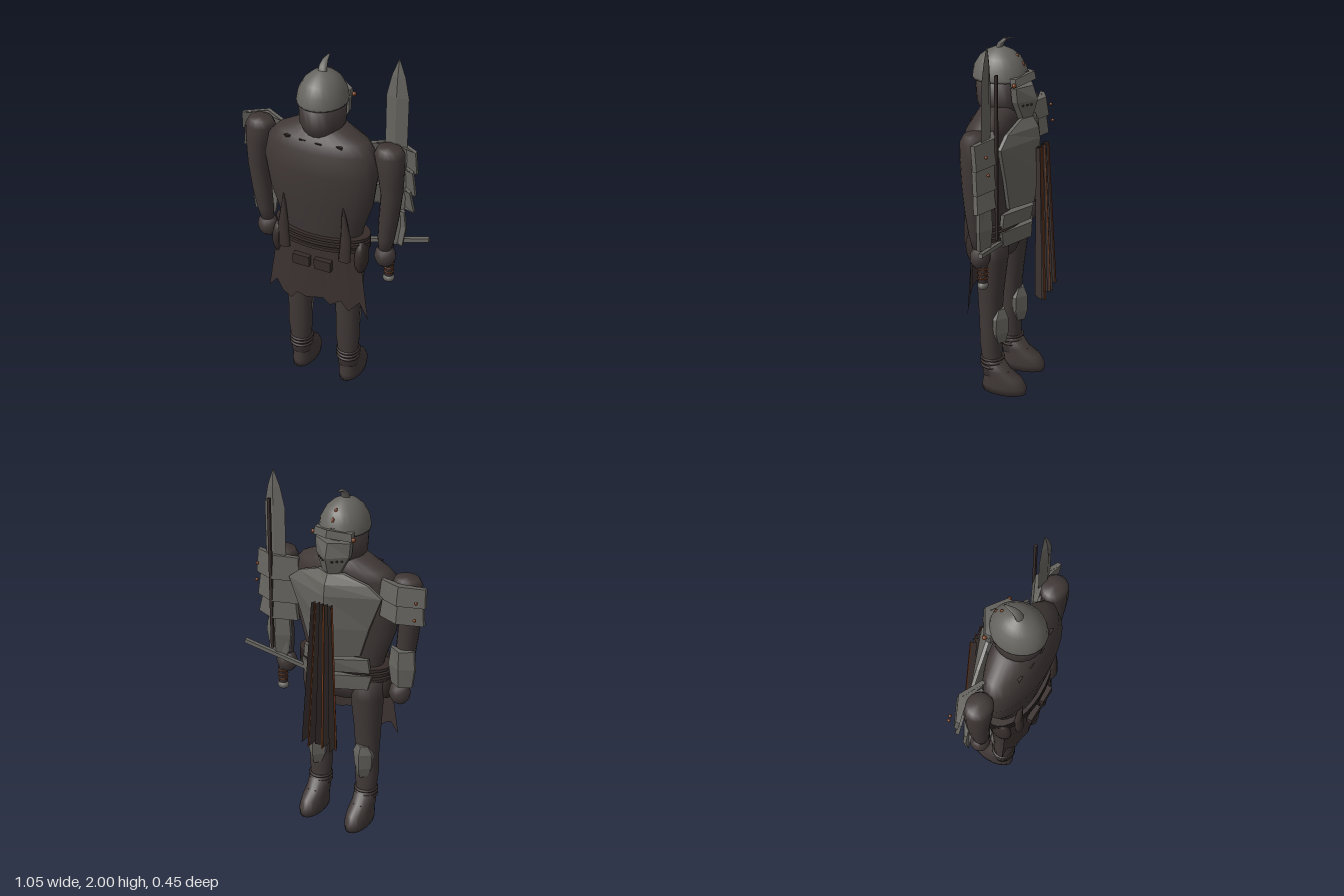
import * as THREE from 'three';

const mat = (name, color, side = THREE.FrontSide) => {
  const m = new THREE.MeshStandardMaterial({ color, side });
  m.name = name;
  return m;
};

// Skin a stack of point loops (bottom to top) and close both ends
function skin(loops, flat = false) {
  const n = loops[0].length, pos = [], idx = [];
  loops.forEach(l => l.forEach(p => pos.push(...p)));
  for (let i = 0; i < loops.length - 1; i++)
    for (let j = 0; j < n; j++) {
      const k = (j + 1) % n, a = i * n + j, b = a + n, c = (i + 1) * n + k, d = i * n + k;
      idx.push(a, b, c, a, c, d);
    }
  [0, loops.length - 1].forEach((row, end) => {
    const c = pos.length / 3;
    for (let q = 0; q < 3; q++) pos.push(loops[row].reduce((s, p) => s + p[q], 0) / n);
    for (let j = 0; j < n; j++) {
      const a = row * n + j, b = row * n + (j + 1) % n;
      if (end) idx.push(c, b, a); else idx.push(c, a, b);
    }
  });
  let g = new THREE.BufferGeometry();
  g.setAttribute('position', new THREE.Float32BufferAttribute(pos, 3));
  g.setIndex(idx);
  if (flat) g = g.toNonIndexed();
  g.computeVertexNormals();
  return g;
}

// Rounded limb or trunk from rings [x, y, z, rx, rz]
const loft = (rings, seg = 20, flat = false) => skin(rings.map(([x, y, z, rx, rz]) =>
  Array.from({ length: seg }, (_, j) => {
    const a = j / seg * Math.PI * 2;
    return [x + Math.cos(a) * rx, y, z + Math.sin(a) * rz];
  })), flat);

// Ridged armour plate from rows [y, halfWidth, zEdge, zRidge], edges lowered by drop
const plate = (rows, t = 0.018, drop = 0, cx = 0) => skin(rows.map(([y, w, e, r]) => [
  [cx + w, y - drop, e], [cx + w, y - drop, e + t], [cx, y, r + t],
  [cx - w, y - drop, e + t], [cx - w, y - drop, e], [cx, y, r]]), true);

export function createModel() {
  const steel = mat('worn steel', 0x66645f);
  const iron = mat('dark iron', 0x403837);
  const rust = mat('rust', 0x6e3a1e);
  const leather = mat('dark leather', 0x352c2a);
  const cloth = mat('dark cloth', 0x3b3230, THREE.DoubleSide);

  const model = new THREE.Group();
  const body = new THREE.Group();
  body.name = 'body';
  body.position.x = -0.035;
  model.add(body);
  const add = (name, geo, m, p = [0, 0, 0], parent = body) => {
    const mesh = new THREE.Mesh(geo, m);
    mesh.name = name;
    mesh.position.set(...p);
    parent.add(mesh);
    return mesh;
  };
  const ball = (r, sx = 1, sy = 1, sz = 1) => new THREE.SphereGeometry(r, 14, 10).scale(sx, sy, sz);
  const box = (x, y, z) => new THREE.BoxGeometry(x, y, z);

  // Trunk and breastplate
  add('torso', loft([[0, 0.78, 0.05, 0.12, 0.07], [0, 0.86, 0.055, 0.2, 0.1], [0, 0.95, 0.065, 0.215, 0.105],
    [0, 1.05, 0.07, 0.24, 0.115], [0, 1.2, 0.08, 0.29, 0.125], [0, 1.38, 0.085, 0.315, 0.14],
    [0, 1.5, 0.075, 0.295, 0.13], [0, 1.55, 0.06, 0.25, 0.115], [0, 1.61, 0.055, 0.13, 0.09]], 28), iron);
  add('breastplate', plate([[1.08, 0.15, -0.05, -0.13], [1.25, 0.2, -0.05, -0.155], [1.44, 0.27, -0.05, -0.16],
    [1.5, 0.2, -0.06, -0.15], [1.55, 0.07, -0.085, -0.12]]), steel);
  add('upperWaistPlate', plate([[0.98, 0.2, -0.03, -0.11], [1.06, 0.19, -0.035, -0.125]]), steel);
  add('lowerWaistPlate', plate([[0.88, 0.19, -0.035, -0.115], [0.965, 0.21, -0.03, -0.12]]), steel);
  for (const y of [0.93, 0.96, 0.99])
    add('beltBand', loft([[0, y - 0.009, 0.065, 0.27, 0.132], [0, y + 0.009, 0.065, 0.27, 0.132]], 28, true), leather);

  // Helmet
  add('head', loft([[0, 1.55, 0.055, 0.09, 0.1], [0, 1.62, 0.06, 0.115, 0.125], [0, 1.75, 0.06, 0.122, 0.132]]), iron);
  add('helmetDome', loft([[0, 1.738, 0.06, 0.128, 0.146], [0, 1.75, 0.06, 0.129, 0.147], [0, 1.8, 0.06, 0.12, 0.138],
    [0, 1.85, 0.06, 0.093, 0.108], [0, 1.88, 0.06, 0.06, 0.07], [0, 1.9, 0.06, 0.02, 0.025]], 24), steel);
  add('crest', loft([[0, 1.87, 0.075, 0.027, 0.022], [0, 1.92, 0.055, 0.022, 0.016],
    [0, 1.944, 0.03, 0.015, 0.013], [0, 1.952, -0.015, 0.004, 0.006]], 10), steel);
  add('brim', plate([[1.75, 0.11, -0.07, -0.135], [1.79, 0.105, -0.062, -0.125]], 0.03, 0.025), steel);
  add('facePlate', plate([[1.54, 0.045, -0.085, -0.115], [1.64, 0.095, -0.07, -0.145], [1.715, 0.1, -0.065, -0.12]], 0.03), steel);
  for (const [y, z] of [[1.855, -0.03], [1.815, -0.062]]) add('crestRivet', ball(0.011, 0.8, 1.5, 1), rust, [0, y, z]);
  for (const s of [-1, 1]) {
    add('brimRivet', ball(0.012), rust, [s * 0.115, 1.735, -0.06]);
    for (const k of [0.025, 0.045, 0.065])
      add('breathHole', box(0.01, 0.008, 0.008), leather, [s * k, 1.62, -0.14 + k * 0.8]);
  }

  // Limbs, mirrored
  for (const s of [-1, 1]) {
    add('arm', loft([[0.345, 0.93, 0.04, 0.035, 0.036], [0.353, 1.0, 0.045, 0.045, 0.045], [0.367, 1.13, 0.05, 0.052, 0.055],
      [0.38, 1.28, 0.052, 0.056, 0.062], [0.372, 1.42, 0.052, 0.07, 0.072], [0.362, 1.51, 0.052, 0.08, 0.073],
      [0.36, 1.545, 0.052, 0.062, 0.055]].map(r => [s * r[0], ...r.slice(1)]), 16), iron);
    add('hand', new THREE.IcosahedronGeometry(0.06, 1).scale(1, 1.15, 0.9), iron, [s * 0.345, 0.88, 0.035]);
    add('vambrace', plate([[0.95, 0.06, 0.0, -0.035], [1.06, 0.075, -0.005, -0.045], [1.16, 0.065, 0.0, -0.04]], 0.018, 0, s * 0.37), steel);

    // Overlapping shoulder lames
    const lames = s > 0 ? [[1.41, 1.54], [1.28, 1.42], [1.18, 1.3]] : [[1.44, 1.54], [1.34, 1.46]];
    lames.forEach(([lo, hi], i) => add('shoulderLame', plate([[lo, 0.128 - i * 0.004, -0.012, -0.075],
      [hi, 0.122 - i * 0.012, 0.0, -0.058]], 0.022, 0.012, s * 0.365), steel));
    for (const [y, z] of [[1.47, -0.05], [1.38, -0.062]])
      add('shoulderRivet', ball(0.009), rust, [s * 0.462, y, z]);

    add('leg', loft([[0, 0.1, 0.05, 0.058, 0.055], [0, 0.2, 0.055, 0.058, 0.055], [0, 0.3, 0.06, 0.068, 0.06],
      [0, 0.42, 0.062, 0.066, 0.06], [0, 0.6, 0.06, 0.076, 0.071], [0, 0.8, 0.05, 0.092, 0.085], [0, 0.92, 0.05, 0.098, 0.085]]),
      iron, [s * 0.145, 0, 0]);
    add('kneePlate', plate([[0.3, 0.03, 0.005, -0.025], [0.36, 0.052, 0.01, -0.04], [0.45, 0.058, 0.005, -0.04],
      [0.5, 0.035, 0.0, -0.02]], 0.02, 0, s * 0.145), steel);
    add('boot', loft([[0, 0, -0.016, 0.064, 0.126], [0, 0.04, -0.018, 0.068, 0.129], [0, 0.09, -0.008, 0.064, 0.108],
      [0, 0.13, 0.025, 0.061, 0.078], [0, 0.19, 0.05, 0.06, 0.058]]), iron, [s * 0.145, 0, 0]);
    for (const y of [0.155, 0.178, 0.2])
      add('ankleStrap', new THREE.TorusGeometry(0.06, 0.008, 6, 20).rotateX(Math.PI / 2), leather, [s * 0.145, y, 0.052]);
    for (const [y, z] of [[0.108, -0.068], [0.126, -0.046], [0.144, -0.028]])
      add('bootLace', box(0.05, 0.008, 0.008), rust, [s * 0.145, y, z]);

    // Hip and back pouches, hanging straps
    add('hipPouch', ball(1, 0.035, 0.1, 0.06), leather, [s * 0.24, 0.88, 0.1]);
    add('backPouch', box(0.095, 0.06, 0.03), leather, [s * 0.062, 0.835, 0.195]);
    add('backStrap', loft([[s * 0.175, 0.88, 0.175, 0.035, 0.02], [s * 0.18, 1.02, 0.17, 0.03, 0.02],
      [s * 0.168, 1.21, 0.178, 0.004, 0.01]], 8), cloth);
  }

  // Torn collar tips
  for (const x of [-0.15, -0.06, 0.03, 0.14])
    add('collarTip', new THREE.ConeGeometry(0.022, 0.04, 3).rotateX(Math.PI), leather, [x, 1.53, 0.172 - Math.abs(x) * 0.12]);

  // Torn skirt hanging round the rear
  const hem = [0.55, 0.61, 0.57, 0.53, 0.6, 0.575, 0.6, 0.6, 0.575, 0.6, 0.55, 0.6, 0.5];
  const skirt = new THREE.PlaneGeometry(2, 1, 12, 5), sp = skirt.attributes.position;
  for (let i = 0; i < sp.count; i++) {
    const u = sp.getX(i), t = 0.5 - sp.getY(i);
    const fold = 0.008 * t * Math.cos(i % 13 * Math.PI);
    sp.setXYZ(i, u * (0.235 + 0.06 * t), 0.95 + (hem[i % 13] - 0.95) * t, 0.185 - 0.06 * u * u + fold);
  }
  skirt.computeVertexNormals();
  add('skirt', skirt, cloth);

  // Pleated tabard with rust-coloured edging
  const pleat = (u, t, i) => [u * (0.06 + 0.045 * t), 1.4 - 0.82 * t - (i % 3) * 0.015 * t,
    -0.168 - 0.025 * t + (i % 2 ? 1 : -1) * (0.013 + 0.012 * t)];
  const tab = new THREE.PlaneGeometry(2, 1, 10, 4), tp = tab.attributes.position;
  for (let i = 0; i < tp.count; i++) tp.setXYZ(i, ...pleat(tp.getX(i), 0.5 - tp.getY(i), i % 11));
  const tabFlat = tab.toNonIndexed();
  tabFlat.computeVertexNormals();
  add('tabard', tabFlat, cloth);
  for (const i of [0, 4, 8]) {
    const top = new THREE.Vector3(...pleat(i / 5 - 1, 0, i)), end = new THREE.Vector3(...pleat(i / 5 - 1, 1, i));
    const trim = add('tabardTrim', box(0.009, 0.006, top.distanceTo(end)), rust, top.clone().lerp(end, 0.5).toArray());
    trim.lookAt(end.clone().add(body.position));
  }

  // Sword held upright
  const sword = new THREE.Group();
  sword.name = 'sword';
  model.add(sword);
  add('blade', loft([[0.335, 0.94, -0.01, 0.058, 0.018], [0.335, 1.8, -0.012, 0.06, 0.018],
    [0.335, 1.91, -0.016, 0.036, 0.014], [0.335, 2, -0.02, 0.002, 0.002]], 4, true), steel, [0, 0, 0], sword);
  add('bladeRib', box(0.016, 0.86, 0.014), leather, [0.335, 1.43, -0.067], sword);
  const guard = add('crossGuard', box(0.37, 0.022, 0.022), steel, [0.338, 0.945, -0.035], sword);
  guard.rotation.set(0, 0.1, 0.22);
  add('grip', new THREE.CylinderGeometry(0.022, 0.025, 0.2, 12), leather, [0.325, 0.85, 0.015], sword);
  for (const y of [0.775, 0.8, 0.825])
    add('gripWrap', new THREE.TorusGeometry(0.024, 0.005, 6, 14).rotateX(Math.PI / 2), rust, [0.325, y, 0.015], sword);
  add('pommel', ball(0.033, 1, 0.75, 0.85), steel, [0.325, 0.73, 0.015], sword);

  return model;
}
